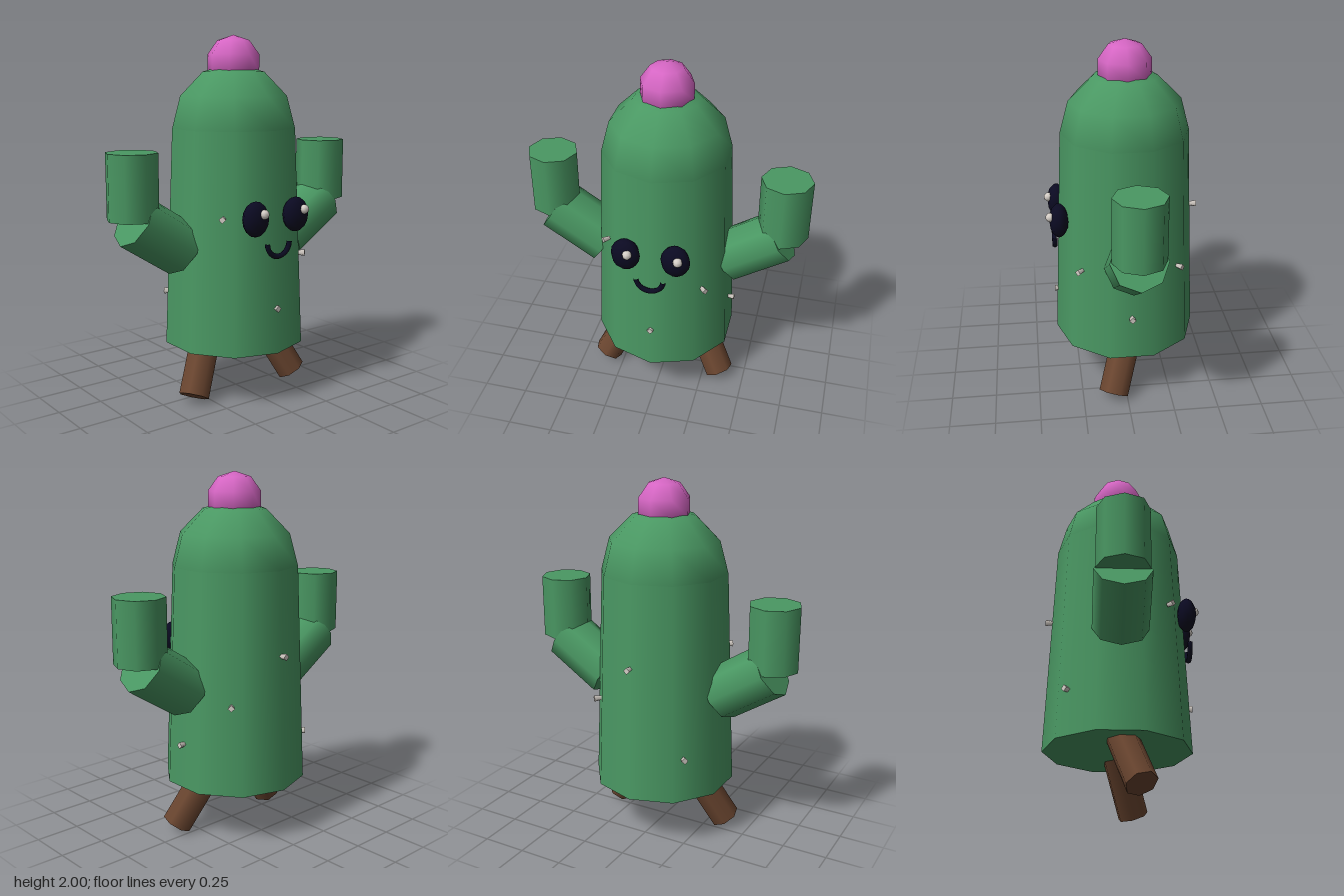
import * as THREE from 'three';

const material = (name, color) => {
  const m = new THREE.MeshStandardMaterial({ color });
  m.name = name;
  return m;
};

export function createModel() {
  const green = material('cactus green', 0x4a9863);
  const pink = material('flower pink', 0xd666c4);
  const brown = material('bark brown', 0x6b4630);
  const dark = material('face navy', 0x0b0a22);
  const pale = material('spine grey', 0xd6cfc8);

  const model = new THREE.Group();
  model.name = 'cactus';
  // The trunk axis sits slightly behind the centre because the face sticks out
  const plant = new THREE.Group();
  plant.name = 'plant';
  plant.position.z = -0.022;
  model.add(plant);

  const add = (name, geometry, mat, x, y, z) => {
    const mesh = new THREE.Mesh(geometry, mat);
    mesh.name = name;
    mesh.position.set(x, y, z);
    plant.add(mesh);
    return mesh;
  };

  // Ten-sided tapered trunk with a faceted dome
  add('trunk', new THREE.CylinderGeometry(0.35, 0.4, 1.2, 10), green, 0, 0.9, 0);
  const dome = new THREE.SphereGeometry(0.35, 10, 3, 0, Math.PI * 2, 0, Math.PI / 2);
  dome.rotateY(Math.PI / 2);
  add('dome', dome, green, 0, 1.5, 0);
  add('flower', new THREE.SphereGeometry(0.15, 8, 5), pink, 0, 1.85, 0);

  // Mirrored limbs and eyes
  for (const [side, s] of [['left', 1], ['right', -1]]) {
    const lower = add(side + 'LowerArm', new THREE.CylinderGeometry(0.15, 0.15, 0.35, 8), green, s * 0.5, 0.95, 0);
    lower.rotation.z = -s;
    add(side + 'UpperArm', new THREE.CylinderGeometry(0.14, 0.14, 0.35, 8), green, s * 0.65, 1.225, 0);

    const leg = add(side + 'Leg', new THREE.CylinderGeometry(0.085, 0.085, 0.36, 7), brown, s * 0.272, 0.198, 0.052);
    leg.rotation.set(-0.31, 0, s * 0.45);

    const eye = add(side + 'Eye', new THREE.SphereGeometry(1, 10, 8), dark, s * 0.136, 1.05, 0.374);
    eye.scale.set(0.08, 0.095, 0.053);
    add(side + 'EyeHighlight', new THREE.SphereGeometry(0.026, 8, 6), pale, s * 0.136 + 0.022, 1.08, 0.42);
  }

  // Smile: lower half of a ring
  const smile = add('smile', new THREE.TorusGeometry(0.075, 0.015, 6, 12, Math.PI), dark, 0, 0.915, 0.397);
  smile.rotation.z = Math.PI;

  // Eight spines around the trunk, starting at the front
  [0.55, 0.8, 0.55, 0.8, 1.05, 0.55, 0.8, 1.05].forEach((y, i) => {
    const angle = (i * Math.PI) / 4;
    const geometry = new THREE.CylinderGeometry(0.019, 0.013, 0.04, 4);
    geometry.rotateX(Math.PI / 2);
    const spine = add('spine' + (i + 1), geometry, pale, Math.sin(angle) * 0.385, y, Math.cos(angle) * 0.385);
    spine.rotation.y = angle;
  });

  return model;
}
